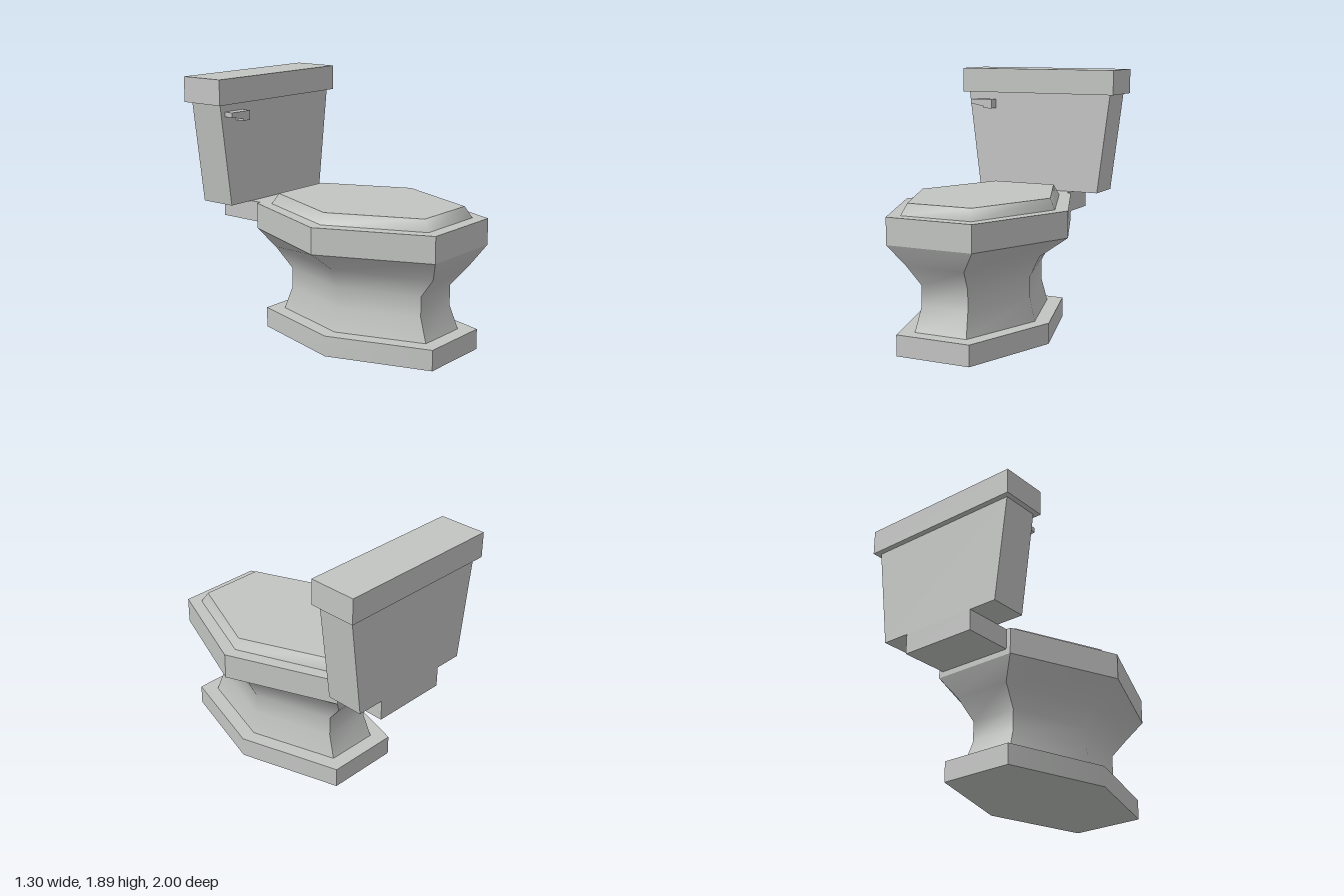
import * as THREE from 'three';
import { toCreasedNormals } from 'three/addons/utils/BufferGeometryUtils.js';

const porcelain = new THREE.MeshStandardMaterial({ color: 0xc2c4c2 });
porcelain.name = 'porcelain grey';

// Long hexagon: widest half width, half width of the ends, front z, back z
function hexRing(y, wide, end, front, back) {
  const mid = (front + back) / 2;
  return [[wide, mid], [end, back], [-end, back], [-wide, mid], [-end, front], [end, front]]
    .map(([x, z]) => [x, y, z]);
}

function boxRing(y, half, front, back) {
  return [[half, front], [half, back], [-half, back], [-half, front]].map(([x, z]) => [x, y, z]);
}

// Join rings from bottom to top, with separate flat caps
function loft(rings) {
  const n = rings[0].length, top = rings.length - 1;
  const points = [...rings, rings[0], rings[top]].flat(2);
  const index = [];
  for (let r = 0; r < top; r++) {
    for (let i = 0; i < n; i++) {
      const a = r * n + i, b = r * n + (i + 1) % n;
      index.push(a, b, b + n, a, b + n, a + n);
    }
  }
  const low = (top + 1) * n, high = low + n;
  for (let i = 1; i < n - 1; i++) {
    index.push(low, low + i + 1, low + i, high, high + i, high + i + 1);
  }
  const geometry = new THREE.BufferGeometry();
  geometry.setAttribute('position', new THREE.Float32BufferAttribute(points, 3));
  geometry.setIndex(index);
  geometry.computeVertexNormals();
  return geometry;
}

export function createModel() {
  const group = new THREE.Group();
  group.name = 'toilet';

  const add = (name, geometry) => {
    const mesh = new THREE.Mesh(geometry, porcelain);
    mesh.name = name;
    group.add(mesh);
    return mesh;
  };
  const addCreased = (name, rings) => add(name, toCreasedNormals(loft(rings), 0.75));
  const addBox = (name, width, y0, y1, front, back) => {
    const mesh = add(name, new THREE.BoxGeometry(width, y1 - y0, front - back));
    mesh.position.set(0, (y0 + y1) / 2, (front + back) / 2);
  };

  // Foot, waisted pedestal and bowl, rim
  addCreased('foot', [hexRing(0, 0.51, 0.28, 0.96, -0.55), hexRing(0.15, 0.51, 0.28, 0.96, -0.55)]);
  addCreased('bowl', [
    hexRing(0.15, 0.4, 0.2, 0.85, -0.44),
    hexRing(0.32, 0.36, 0.18, 0.79, -0.38),
    hexRing(0.47, 0.36, 0.18, 0.79, -0.38),
    hexRing(0.62, 0.435, 0.22, 0.915, -0.505),
    hexRing(0.77, 0.65, 0.325, 1, -0.59),
  ]);
  addCreased('rim', [hexRing(0.77, 0.65, 0.325, 1, -0.59), hexRing(0.96, 0.65, 0.325, 1, -0.59)]);

  // Closed lid, with softly shaded sloping sides
  add('seatLid', loft([
    hexRing(0.96, 0.55, 0.27, 0.905, -0.495),
    hexRing(1.04, 0.515, 0.245, 0.855, -0.445),
  ]));

  // Shelf behind the bowl, tank and tank lid
  addBox('tankShelf', 0.58, 0.81, 0.96, -0.5, -0.96);
  addCreased('tank', [boxRing(0.96, 0.5, -0.68, -0.96), boxRing(1.71, 0.597, -0.68, -0.96)]);
  addBox('tankLid', 1.27, 1.71, 1.895, -0.645, -1);

  // Flush handle on the model's right
  const outline = [[-0.55, 1.62], [-0.435, 1.6], [-0.435, 1.585], [-0.365, 1.585], [-0.365, 1.655], [-0.55, 1.655]];
  const shape = new THREE.Shape(outline.map(([x, y]) => new THREE.Vector2(x, y)));
  const handle = add('flushHandle', new THREE.ExtrudeGeometry(shape, { depth: 0.075, bevelEnabled: false }));
  handle.position.z = -0.682;

  return group;
}
